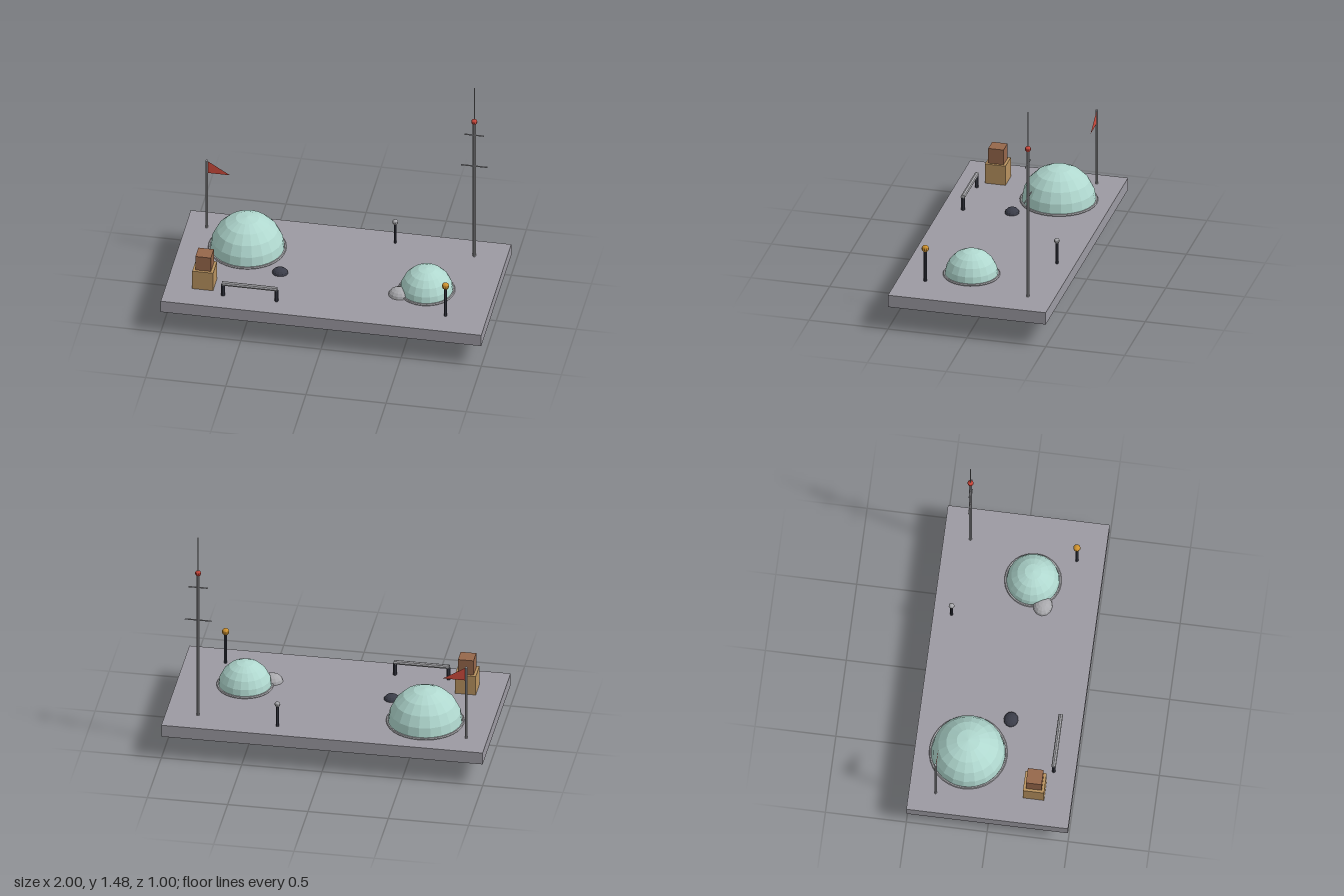
import * as THREE from 'three';

const DECK = 0.235; // height of the platform's top face

function material(name, color, extra = {}) {
  const m = new THREE.MeshStandardMaterial({ color, flatShading: true, ...extra });
  m.name = name;
  return m;
}

export function createModel() {
  const mats = {
    deck: material('deckGrey', 0x9c9aa2),
    dome: material('paleTeal', 0xb0d8cf),
    metal: material('lightMetal', 0xa9a9ad),
    dark: material('darkMetal', 0x3b3d49),
    crate: material('tanCrate', 0xb8925f),
    crateTop: material('brownCrate', 0x96674b),
    red: material('signalRed', 0xc9463a),
    flag: material('flagRed', 0xd04c3e, { side: THREE.DoubleSide }),
    amber: material('amber', 0xcf922f),
  };
  const model = new THREE.Group();
  model.name = 'outpost';

  const add = (name, geometry, mat, x, y, z) => {
    const mesh = new THREE.Mesh(geometry, mat);
    mesh.name = name;
    mesh.position.set(x, y, z);
    model.add(mesh);
    return mesh;
  };
  const box = (name, w, h, d, mat, x, y, z) =>
    add(name, new THREE.BoxGeometry(w, h, d), mat, x, y, z);
  const ball = (name, r, mat, x, y, z, w = 10, h = 8) =>
    add(name, new THREE.SphereGeometry(r, w, h), mat, x, y, z);
  // Upright rod between two heights
  const rod = (name, r, y0, y1, mat, x, z) =>
    add(name, new THREE.CylinderGeometry(r, r, y1 - y0, 8), mat, x, (y0 + y1) / 2, z);
  // Rod lying along x
  const bar = (name, r, length, mat, x, y, z) => {
    const mesh = add(name, new THREE.CylinderGeometry(r, r, length, 8), mat, x, y, z);
    mesh.rotation.z = Math.PI / 2;
  };

  // Platform
  box('platform', 2, 0.08, 1, mats.deck, 0, DECK - 0.04, 0);

  // Domes are full spheres showing below the platform, each with a base ring
  for (const [name, r, x, z] of [['largeDome', 0.23, -0.585, -0.17], ['smallDome', 0.165, 0.58, 0.08]]) {
    ball(name, r, mats.dome, x, DECK, z, 20, 10);
    const ring = add(name + 'Ring', new THREE.TorusGeometry(r + 0.003, 0.008, 6, 32), mats.metal, x, DECK + 0.005, z);
    ring.rotation.x = Math.PI / 2;
  }

  // Radio mast
  const [mx, mz] = [0.8, -0.335];
  rod('mast', 0.01, DECK, 1.235, mats.metal, mx, mz);
  rod('mastAntenna', 0.003, 1.235, 1.485, mats.metal, mx, mz);
  ball('mastBeacon', 0.019, mats.red, mx, 1.235, mz);
  bar('lowerCrossbar', 0.004, 0.165, mats.metal, mx, 0.905, mz);
  bar('upperCrossbar', 0.004, 0.12, mats.metal, mx, 1.135, mz);

  // Pennant and pole
  rod('flagPole', 0.008, DECK, 0.735, mats.metal, -0.87, -0.335);
  const pennant = new THREE.Shape([
    new THREE.Vector2(0, 0), new THREE.Vector2(0.145, 0), new THREE.Vector2(0, 0.09),
  ]);
  add('pennant', new THREE.ShapeGeometry(pennant), mats.flag, -0.868, 0.642, -0.335);

  // Stacked crates
  box('lowerCrate', 0.13, 0.13, 0.13, mats.crate, -0.77, DECK + 0.065, 0.265);
  box('upperCrate', 0.097, 0.1, 0.097, mats.crateTop, -0.77, DECK + 0.18, 0.265);

  // Low rail on two posts
  for (const x of [-0.637, -0.303]) rod('railPost', 0.012, DECK, 0.315, mats.dark, x, 0.365);
  bar('rail', 0.014, 0.345, mats.metal, -0.47, 0.322, 0.365);

  // Lamp posts
  rod('lampPost', 0.01, DECK, 0.455, mats.dark, 0.745, 0.33);
  ball('lamp', 0.023, mats.amber, 0.745, 0.455, 0.33);
  rod('sensorPost', 0.009, DECK, 0.388, mats.dark, 0.297, -0.387);
  ball('sensor', 0.018, mats.metal, 0.297, 0.388, -0.387);

  // Flattened mounds on the deck
  ball('darkMound', 0.05, mats.dark, -0.337, DECK, 0.062, 12, 8).scale.set(1, 0.7, 0.9);
  ball('greyMound', 0.067, mats.metal, 0.424, DECK, 0.16, 12, 8).scale.set(1, 0.72, 0.9);

  return model;
}
